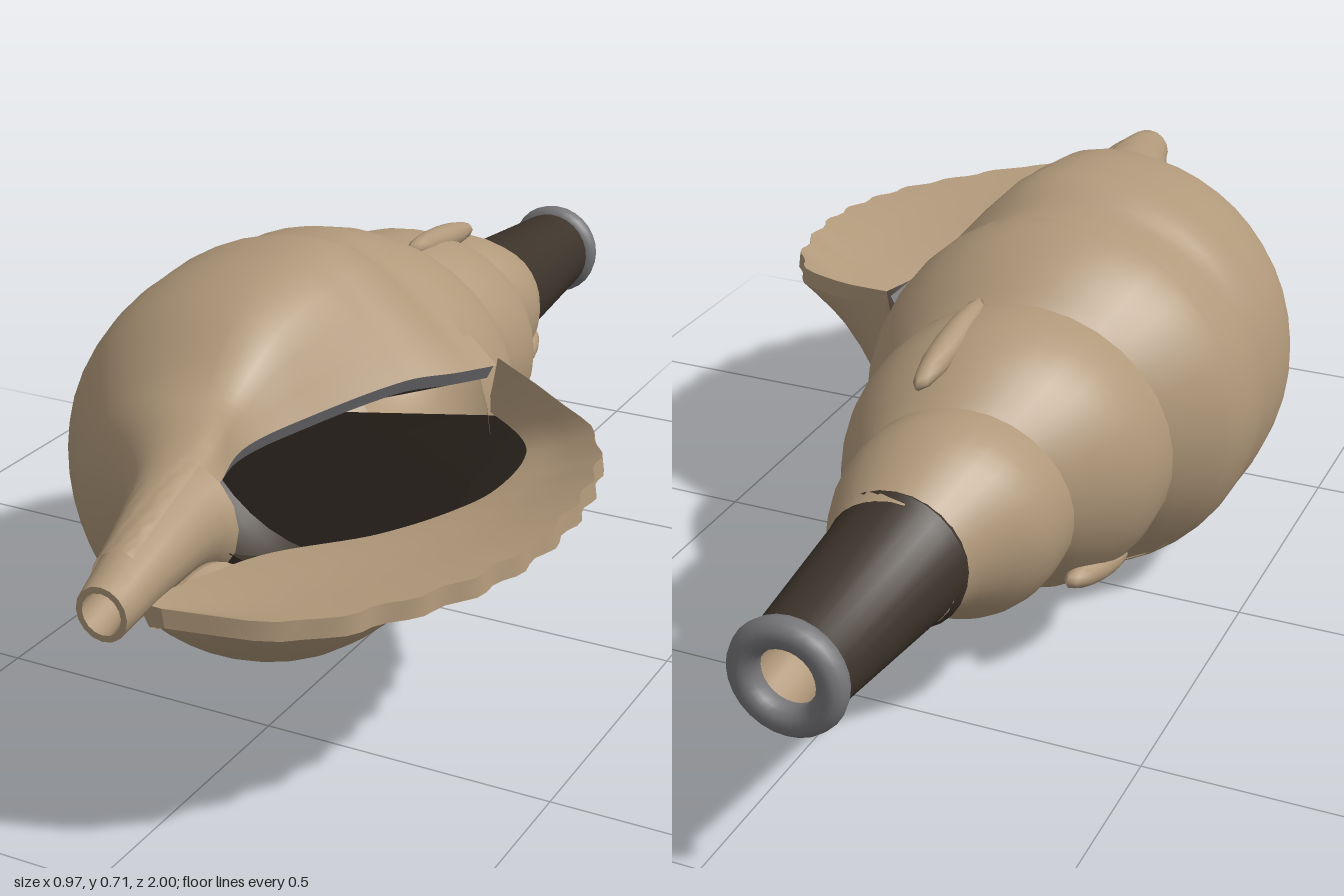
import * as THREE from 'three';
import { mergeVertices, toCreasedNormals } from 'three/addons/utils/BufferGeometryUtils.js';

const clamp = THREE.MathUtils.clamp, TAU = Math.PI * 2;

// Smooth lookup in rows of [z, a, b, ...]
function look(rows, z) {
  const last = rows.length - 1;
  z = clamp(z, rows[0][0], rows[last][0]);
  let i = 0;
  while (i < last - 1 && z > rows[i + 1][0]) i++;
  const slope = (k, c) => {
    const p = rows[Math.max(k - 1, 0)], q = rows[Math.min(k + 1, last)];
    return (q[c] - p[c]) / (q[0] - p[0]);
  };
  const a = rows[i], b = rows[i + 1], h = b[0] - a[0], t = (z - a[0]) / h;
  const t2 = t * t, t3 = t2 * t;
  return a.slice(1).map((v, n) => {
    const c = n + 1;
    return (2 * t3 - 3 * t2 + 1) * v + (t3 - 2 * t2 + t) * h * slope(i, c) +
      (3 * t2 - 2 * t3) * b[c] + (t3 - t2) * h * slope(i + 1, c);
  });
}

// Shell core: z, centre x, centre y, radius
const CORE = [[-0.66, -0.147, 0.354, 0.1], [-0.38, -0.145, 0.354, 0.185], [-0.12, -0.145, 0.352, 0.265],
  [0, -0.145, 0.351, 0.303], [0.1, -0.143, 0.35, 0.337], [0.2, -0.14, 0.349, 0.348], [0.3, -0.14, 0.348, 0.338],
  [0.4, -0.132, 0.35, 0.305], [0.53, -0.1, 0.36, 0.222], [0.62, -0.048, 0.408, 0.157], [0.72, -0.014, 0.46, 0.088],
  [0.85, 0.015, 0.462, 0.06], [1, 0.04, 0.445, 0.042]];
// Inner lip, fold where the mouth turns into the flare, and outer lip edge: z, x, y
const INNER = [[-0.01, 0.165, 0.48], [0.1, 0.14, 0.5], [0.2, 0.1, 0.515], [0.4, 0.035, 0.515], [0.55, 0, 0.51],
  [0.7, 0.04, 0.51], [0.8, 0.045, 0.505], [0.93, 0.055, 0.485]];
const FOLD = [[-0.01, 0.165, 0.36], [0.05, 0.25, 0.355], [0.1, 0.29, 0.35], [0.2, 0.305, 0.345], [0.3, 0.29, 0.34],
  [0.5, 0.225, 0.355], [0.66, 0.125, 0.37], [0.8, 0.09, 0.385], [0.93, 0.07, 0.4]];
const EDGE = [[-0.01, 0.17, 0.48], [0.04, 0.28, 0.458], [0.1, 0.38, 0.443], [0.2, 0.445, 0.435], [0.4, 0.478, 0.428],
  [0.6, 0.445, 0.415], [0.75, 0.36, 0.408], [0.87, 0.25, 0.408], [0.93, 0.1, 0.42]];

// Point on the core, with bulging whorls between spiral sutures
function corePoint(z, angle, grow = 0) {
  const [cx, cy, r] = look(CORE, z);
  const amp = 0.03 * clamp((0.2 - z) / 0.2, 0, 1) * clamp((z + 0.7) / 0.2, 0, 1);
  const R = r + grow + amp * Math.abs(Math.sin(Math.PI * (z / 0.25 - angle / TAU)));
  return new THREE.Vector3(cx + R * Math.cos(angle), cy + R * Math.sin(angle), z);
}

// Surface through rows of equally many points
function loft(rows, crease = 0.6) {
  const n = rows[0].length, index = [];
  for (let i = 0; i < rows.length - 1; i++) {
    for (let j = 0; j < n - 1; j++) {
      const a = i * n + j, b = a + 1, c = a + n, d = c + 1;
      index.push(a, b, d, a, d, c);
    }
  }
  const g = new THREE.BufferGeometry();
  g.setAttribute('position', new THREE.Float32BufferAttribute(rows.flat().flatMap(p => p.toArray()), 3));
  g.setIndex(index);
  return toCreasedNormals(mergeVertices(g, 1e-5), crease);
}

const range = (n, a, b) => Array.from({ length: n + 1 }, (_, i) => a + (b - a) * i / n);
const at = (table, z, dx = 0, dy = 0) => {
  const [x, y] = look(table, z);
  return new THREE.Vector3(x + dx, y + dy, z);
};
const wave = z => 0.006 * Math.sin(z * 72) * clamp(z * 8, 0, 1);
const smooth = (pts, n) => {
  const c = new THREE.CatmullRomCurve3(pts, false, 'centripetal');
  return range(n, 0, 1).map(t => c.getPoint(t));
};
const arc = (z, grow) => range(9, 75, 325).map(d => corePoint(z, d * Math.PI / 180, grow));
const edgeLow = z => at(EDGE, z, wave(z), -0.016);
const edgeTop = z => at(EDGE, z, wave(z) - 0.004, 0.014);
const foldIn = z => at(FOLD, z, -0.018, 0.035);
const innerLow = z => at(INNER, z, -0.012, -0.024);

export function createModel() {
  const group = new THREE.Group();
  const mat = (name, color) => {
    const m = new THREE.MeshStandardMaterial({ color, side: THREE.DoubleSide });
    m.name = name;
    return m;
  };
  const tan = mat('shell tan', 0xb0987a);
  const dark = mat('dark brown', 0x3d342b);
  const grey = mat('metal grey', 0x77777a);
  const add = (name, geometry, material, parent = group) => {
    const m = new THREE.Mesh(geometry, material);
    m.name = name;
    parent.add(m);
    return m;
  };

  // Spire: the grid itself winds with the sutures
  const spireRows = range(38, -0.925, 0.025).map(row => range(32, 0, TAU).map(a =>
    corePoint(clamp(row + 0.25 * a / TAU, -0.65, 0.01), a)));
  add('spire', loft(spireRows, 0.45), tan);

  // Body whorl, open at the mouth and flaring into the lip
  const zs = range(48, -0.01, 0.93);
  add('bodyWhorl', loft(zs.map(z => smooth([at(INNER, z), ...arc(z, 0.003), at(FOLD, z), edgeLow(z)], 44)), 0.8), tan);

  // Flared upper face and rim of the outer lip
  add('lipFace', loft(zs.map(z => {
    const a = foldIn(z), b = edgeTop(z), mid = a.clone().lerp(b, 0.5);
    mid.y -= 0.006;
    return smooth([a, mid, b], 6);
  })), tan);
  add('lipRim', loft(zs.map(z => [edgeTop(z), edgeLow(z)])), tan);
  add('lipEnd', loft([[at(FOLD, 0.93), edgeLow(0.93)], [foldIn(0.93), edgeTop(0.93)]]), tan);

  // Dark hollow, closed at both ends, with a pale edge on the inner lip
  const hollow = range(30, 0.005, 0.71).map(z => smooth([innerLow(z), ...arc(z, -0.025), foldIn(z)], 36));
  const shut = row => {
    const c = row.reduce((s, p) => s.add(p), new THREE.Vector3()).divideScalar(row.length);
    return row.map(() => c.clone());
  };
  add('hollow', loft([shut(hollow[0]), ...hollow, shut(hollow[hollow.length - 1])], 0.8), dark);
  add('innerLipEdge', loft(range(30, 0, 0.72).map(z => [at(INNER, z), innerLow(z)])), grey);

  // Siphon canal with an open end
  const ring = (z, grow) => range(16, 0, TAU).map(a => corePoint(z, a, grow));
  const canal = range(10, 0.7, 1).map(z => ring(z, 0));
  canal.push(ring(1, -0.01), ring(0.93, -0.02), shut(ring(0.93, -0.02)));
  add('siphonCanal', loft(canal), tan);

  // Raised ribs on the spire: angle in degrees, z, length
  for (const [deg, z, length] of [[78, -0.325, 0.14], [-25, -0.56, 0.07], [225, -0.24, 0.1]]) {
    const a = deg * Math.PI / 180;
    const p = corePoint(z, a, -0.006);
    const rib = add('rib', new THREE.SphereGeometry(1, 12, 8), tan);
    rib.scale.set(0.024, 0.024, length);
    rib.position.copy(p);
    rib.lookAt(corePoint(z + 0.08, a, -0.006));
  }

  // Mouthpiece along -z
  const mouthpiece = new THREE.Group();
  mouthpiece.name = 'mouthpiece';
  mouthpiece.position.set(-0.147, 0.354, 0);
  mouthpiece.rotation.x = -Math.PI / 2;
  group.add(mouthpiece);
  const lathe = pts => toCreasedNormals(
    new THREE.LatheGeometry(pts.map(p => new THREE.Vector2(...p)), 28), 0.6);
  add('sleeve', lathe([[0.095, 0.62], [0.114, 0.62], [0.117, 0.632], [0.108, 0.645], [0.08, 0.97], [0.06, 0.98]]), dark, mouthpiece);
  add('bore', lathe([[0.056, 0.98], [0.05, 0.9], [0.045, 0.82], [0, 0.82]]), tan, mouthpiece);
  const rim = add('rimRing', new THREE.TorusGeometry(0.07, 0.024, 12, 28), grey, mouthpiece);
  rim.position.y = 0.976;
  rim.rotation.x = Math.PI / 2;

  return group;
}
